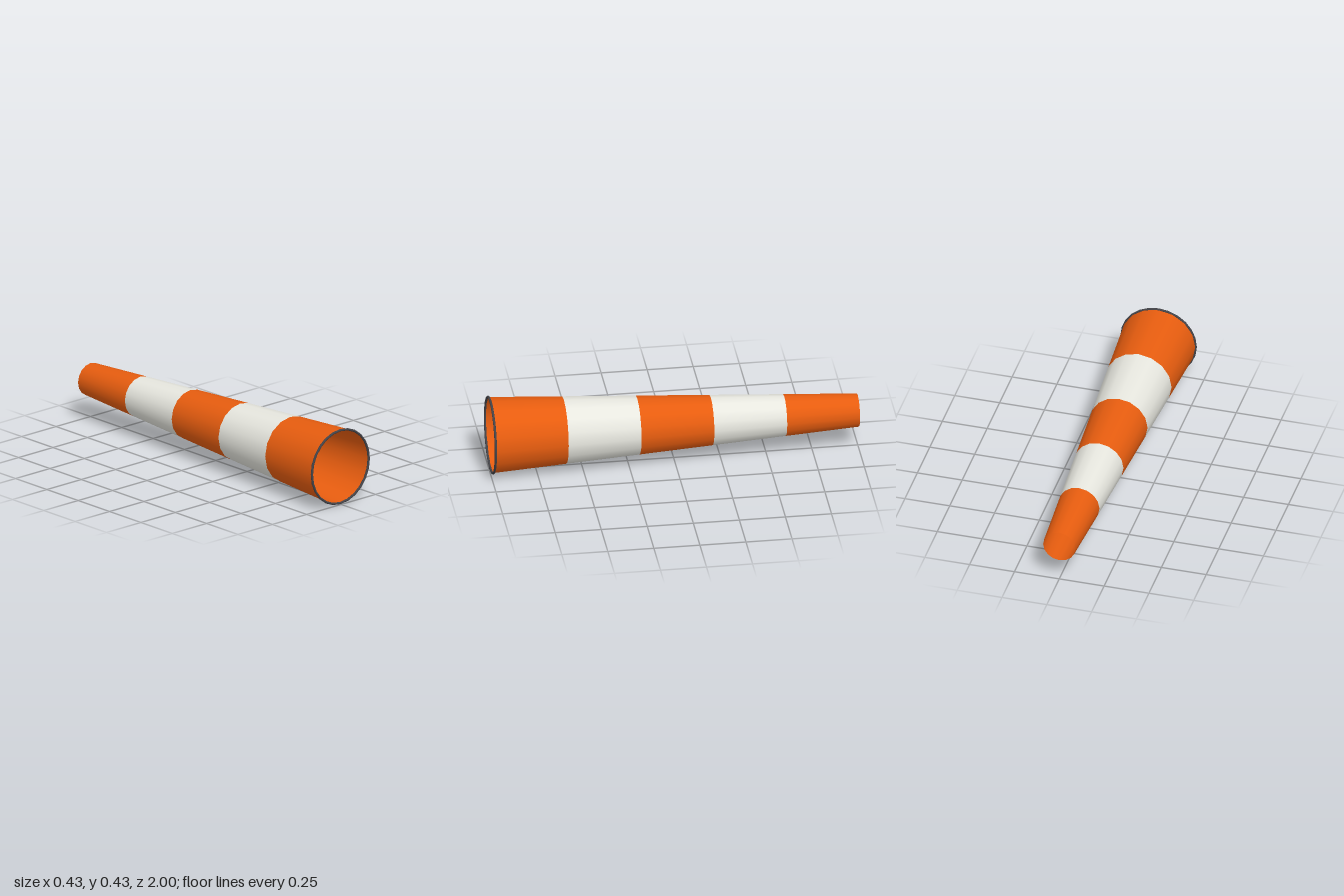
import * as THREE from 'three';

export function createModel() {
  const orange = new THREE.MeshStandardMaterial({ color: 0xe85d0f, side: THREE.DoubleSide });
  const white = new THREE.MeshStandardMaterial({ color: 0xe8e8e0, side: THREE.DoubleSide });
  const darkGrey = new THREE.MeshStandardMaterial({ color: 0x444449 });
  orange.name = 'orange';
  white.name = 'white';
  darkGrey.name = 'darkGrey';

  const model = new THREE.Group();
  model.name = 'windsock';

  const axisY = 0.213;
  const bands = 5;
  const mouthZ = 0.9935, tailZ = -1;
  const mouthR = 0.206, tailR = 0.09;

  // Tapered open sleeve, in alternating fabric bands from mouth to tail
  for (let i = 0; i < bands; i++) {
    const t0 = i / bands, t1 = (i + 1) / bands;
    const z0 = THREE.MathUtils.lerp(mouthZ, tailZ, t0);
    const z1 = THREE.MathUtils.lerp(mouthZ, tailZ, t1);
    const geometry = new THREE.CylinderGeometry(
      THREE.MathUtils.lerp(mouthR, tailR, t0),
      THREE.MathUtils.lerp(mouthR, tailR, t1),
      z0 - z1, 16, 1, true
    );
    geometry.rotateX(Math.PI / 2);
    const band = new THREE.Mesh(geometry, i % 2 ? white : orange);
    band.name = 'sleeveBand' + (i + 1);
    band.position.set(0, axisY, (z0 + z1) / 2);
    model.add(band);
  }

  // Stiff hoop holding the mouth open
  const hoop = new THREE.Mesh(new THREE.TorusGeometry(0.2065, 0.0065, 8, 24), darkGrey);
  hoop.name = 'mouthHoop';
  hoop.position.set(0, axisY, mouthZ);
  model.add(hoop);

  return model;
}
